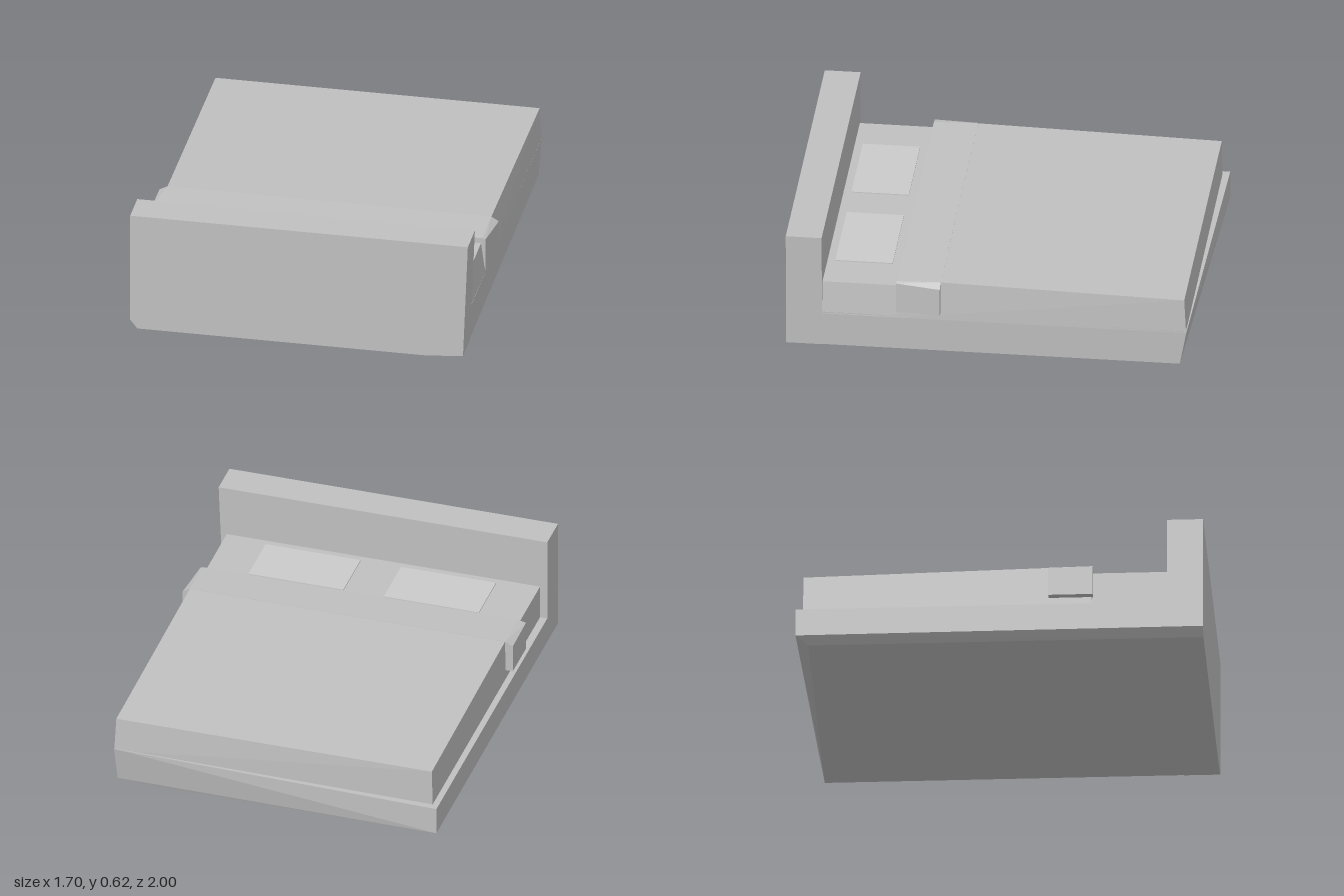
import * as THREE from 'three';
import { ConvexGeometry } from 'three/addons/geometries/ConvexGeometry.js';

export function createModel() {
  const bed = new THREE.Group();
  bed.name = 'bed';

  const grey = new THREE.MeshStandardMaterial({ color: 0xc0c0c0 });
  grey.name = 'grey';
  const paleGrey = new THREE.MeshStandardMaterial({ color: 0xcacaca });
  paleGrey.name = 'pale grey';

  const add = (name, geometry, material) => {
    const mesh = new THREE.Mesh(geometry, material);
    mesh.name = name;
    bed.add(mesh);
    return mesh;
  };
  // Flat-faced convex block through its corner points
  const block = (name, corners) =>
    add(name, new ConvexGeometry(corners.map((c) => new THREE.Vector3(...c))), grey);

  // Slightly skewed base, flaring out at the left foot corner
  block('base', [
    [-0.81, 0, -0.94], [0.63, 0, -0.94], [0.81, 0.012, -0.94],
    [-0.81, 0, 0.9], [0.63, 0, 0.9], [0.815, 0.015, 0.9],
    [-0.845, 0.04, -1], [-0.845, 0.18, -1], [0.818, 0.2, -0.975],
    [-0.845, 0.045, 0.9], [-0.845, 0.18, 0.9], [0.822, 0.2, 0.9],
  ]);

  // Headboard, leaning in towards the floor on one side
  block('headboard', [0.823, 1].flatMap((z) => [
    [-0.81, 0, z], [-0.845, 0.045, z], [-0.845, 0.622, z],
    [0.842, 0.622, z], [0.818, 0.015, z], [0.63, 0, z],
  ]));

  // Mattress with the bare sheet by the headboard
  block('mattress', [0.4, 0.83].flatMap((z) => [
    [-0.808, 0.17, z], [-0.808, 0.358, z], [0.8, 0.358, z], [0.822, 0.19, z],
  ]));

  // Blanket, falling gently towards the foot
  block('blanket', [
    [-0.815, 0.17, -0.965], [0.818, 0.19, -0.972],
    [-0.81, 0.368, -0.962], [0.81, 0.368, -0.962],
    [-0.815, 0.17, 0.45], [0.822, 0.19, 0.45],
    [-0.81, 0.392, 0.24], [0.808, 0.392, 0.24],
    [-0.81, 0.385, 0.458], [0.808, 0.385, 0.458],
  ]);

  // Turned-down fold wrapping over both sides
  block('blanketFold', [
    [-0.85, 0.228, 0.24], [-0.85, 0.228, 0.458],
    [-0.85, 0.372, 0.24], [-0.85, 0.378, 0.458],
    [0.845, 0.225, 0.24], [0.822, 0.225, 0.458],
    [0.845, 0.37, 0.24], [0.822, 0.38, 0.458],
    [-0.81, 0.393, 0.24], [0.808, 0.393, 0.24],
    [-0.81, 0.386, 0.458], [0.808, 0.386, 0.458],
  ]);

  // Flat pillows
  for (const [name, x] of [['rightPillow', -0.35], ['leftPillow', 0.345]]) {
    add(name, new THREE.BoxGeometry(0.488, 0.006, 0.283), paleGrey)
      .position.set(x, 0.36, 0.643);
  }

  return bed;
}
